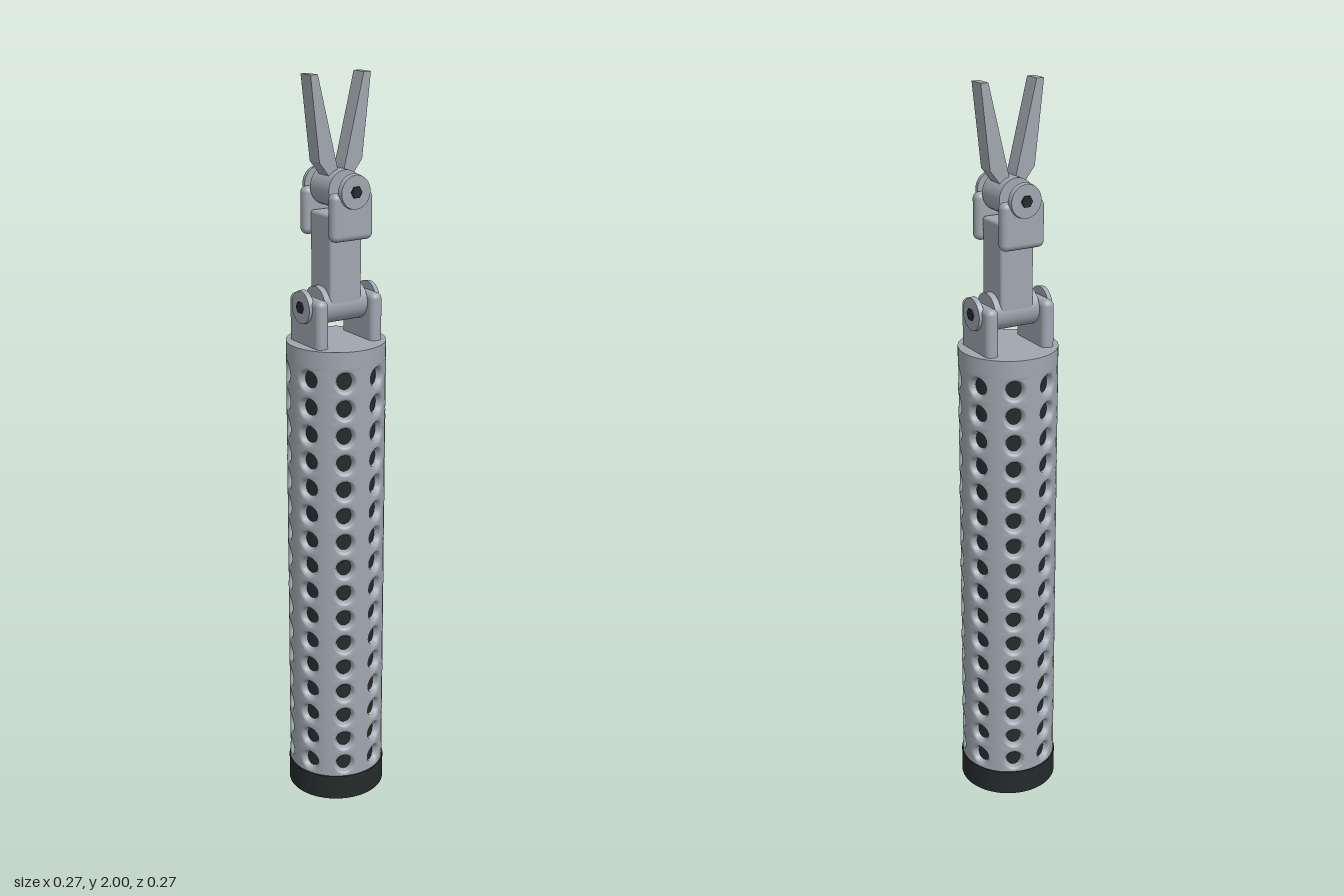
import * as THREE from 'three';
import { mergeVertices } from 'three/addons/utils/BufferGeometryUtils.js';
import { RoundedBoxGeometry } from 'three/addons/geometries/RoundedBoxGeometry.js';

const R = 0.132, COLS = 8, ROWS = 16, PITCH = 0.075, SLEEVE_Y = 0.072;

// Sleeve made of repeated cells, each with a round funnel-shaped hole
function perforatedSleeve() {
  const side = 8, n = side * 4, pos = [], idx = [];
  const halfW = Math.PI * R / COLS, halfH = PITCH / 2;
  // [hole radius, depth below the surface]
  const rings = [[0.0335, 0], [0.029, 0.002], [0.025, 0.007], [0.0225, 0.02]];
  for (let c = 0; c < COLS; c++) for (let r = 0; r < ROWS; r++) {
    const a0 = (c + 0.5) * Math.PI * 2 / COLS, y0 = SLEEVE_Y + (r + 0.5) * PITCH;
    const start = pos.length / 3;
    const add = (u, v, depth) => {
      const a = a0 + u / R, q = R - depth;
      pos.push(Math.sin(a) * q, y0 + v, Math.cos(a) * q);
    };
    // rectangular cell border, counter-clockwise from the lower left corner
    for (let i = 0; i < n; i++) {
      const t = (i % side) / side * 2 - 1;
      const [u, v] = [[t, -1], [1, t], [-t, 1], [-1, -t]][Math.floor(i / side)];
      add(u * halfW, v * halfH, 0);
    }
    for (const [rad, depth] of rings) for (let i = 0; i < n; i++) {
      const a = i / n * Math.PI * 2 - Math.PI * 0.75;
      add(Math.cos(a) * rad, Math.sin(a) * rad, depth);
    }
    for (let k = 0; k < rings.length; k++) for (let i = 0; i < n; i++) {
      const j = (i + 1) % n, o = start + k * n, p = o + n;
      idx.push(o + i, o + j, p + j, o + i, p + j, p + i);
    }
  }
  const g = new THREE.BufferGeometry();
  g.setAttribute('position', new THREE.Float32BufferAttribute(pos, 3));
  g.setIndex(idx);
  const merged = mergeVertices(g, 1e-5);
  merged.computeVertexNormals();
  return merged;
}

export function createModel() {
  const root = new THREE.Group();
  root.name = 'gripperTool';
  const metal = new THREE.MeshStandardMaterial({ color: 0x9fa8ae });
  metal.name = 'greyMetal';
  const sleeveMetal = new THREE.MeshStandardMaterial({ color: 0x9fa8ae, side: THREE.DoubleSide });
  sleeveMetal.name = 'sleeveMetal';
  const dark = new THREE.MeshStandardMaterial({ color: 0x232b2a });
  dark.name = 'darkRubber';

  const add = (parent, name, geo, mat, x = 0, y = 0, z = 0) => {
    const m = new THREE.Mesh(geo, mat);
    m.name = name;
    m.position.set(x, y, z);
    parent.add(m);
    return m;
  };

  // Handle
  const handle = new THREE.Group();
  handle.name = 'handle';
  root.add(handle);
  add(handle, 'baseCap', new THREE.CylinderGeometry(0.135, 0.135, 0.072, 64), dark, 0, 0.036);
  add(handle, 'innerCore', new THREE.CylinderGeometry(0.114, 0.114, 1.22, 64, 1, true), dark, 0, 0.67);
  add(handle, 'perforatedSleeve', perforatedSleeve(), sleeveMetal);
  const sleeveTop = SLEEVE_Y + ROWS * PITCH;
  add(handle, 'topCollar', new THREE.CylinderGeometry(R, R, 1.317 - sleeveTop, 64),
    metal, 0, (1.317 + sleeveTop) / 2);

  // Fork with two ears, pins and a barrel along x; turned for the other axis
  function fork(name, y, earBottom, earTop, earInner, earWidth, barrelLength) {
    const g = new THREE.Group();
    g.name = name;
    root.add(g);
    const thick = 0.036, h = earTop - earBottom;
    for (const s of [-1, 1]) {
      const ear = new RoundedBoxGeometry(thick, h, earWidth, 5, 0.0165);
      add(g, 'ear', ear, metal, s * (earInner + thick / 2), (earTop + earBottom) / 2);
      const outer = earInner + thick;
      add(g, 'pinWasher', new THREE.CylinderGeometry(0.043, 0.045, 0.014, 40).rotateZ(-s * Math.PI / 2),
        metal, s * (outer + 0.001), y);
      add(g, 'pinSocket', new THREE.CylinderGeometry(0.016, 0.016, 0.01, 6).rotateZ(Math.PI / 2),
        dark, s * (outer + 0.0075), y);
    }
    add(g, 'pivotBarrel', new THREE.CylinderGeometry(0.05, 0.05, barrelLength, 40).rotateZ(Math.PI / 2),
      metal, 0, y);
    return g;
  }
  fork('lowerFork', 1.417, 1.298, 1.443, 0.065, 0.147, 0.13);
  const upper = fork('upperFork', 1.716, 1.59, 1.714, 0.048, 0.124, 0.088);
  upper.rotation.y = Math.PI / 2;

  // Link between the two pivots
  add(root, 'linkArm', new RoundedBoxGeometry(0.096, 0.236, 0.098, 3, 0.008), metal, 0, 1.538);

  // Mirrored jaws
  const outline = [[0.0, 1.715], [0.03, 1.742], [0.064, 1.785], [0.089, 2.0], [0.068, 2.0], [0.012, 1.775]];
  for (const s of [-1, 1]) {
    const shape = new THREE.Shape(outline.map(([x, y]) => new THREE.Vector2(s * x, y)));
    const geo = new THREE.ExtrudeGeometry(shape, { depth: 0.046, bevelEnabled: false });
    add(root, s > 0 ? 'leftJaw' : 'rightJaw', geo.translate(0, 0, -0.023), metal);
  }
  return root;
}
